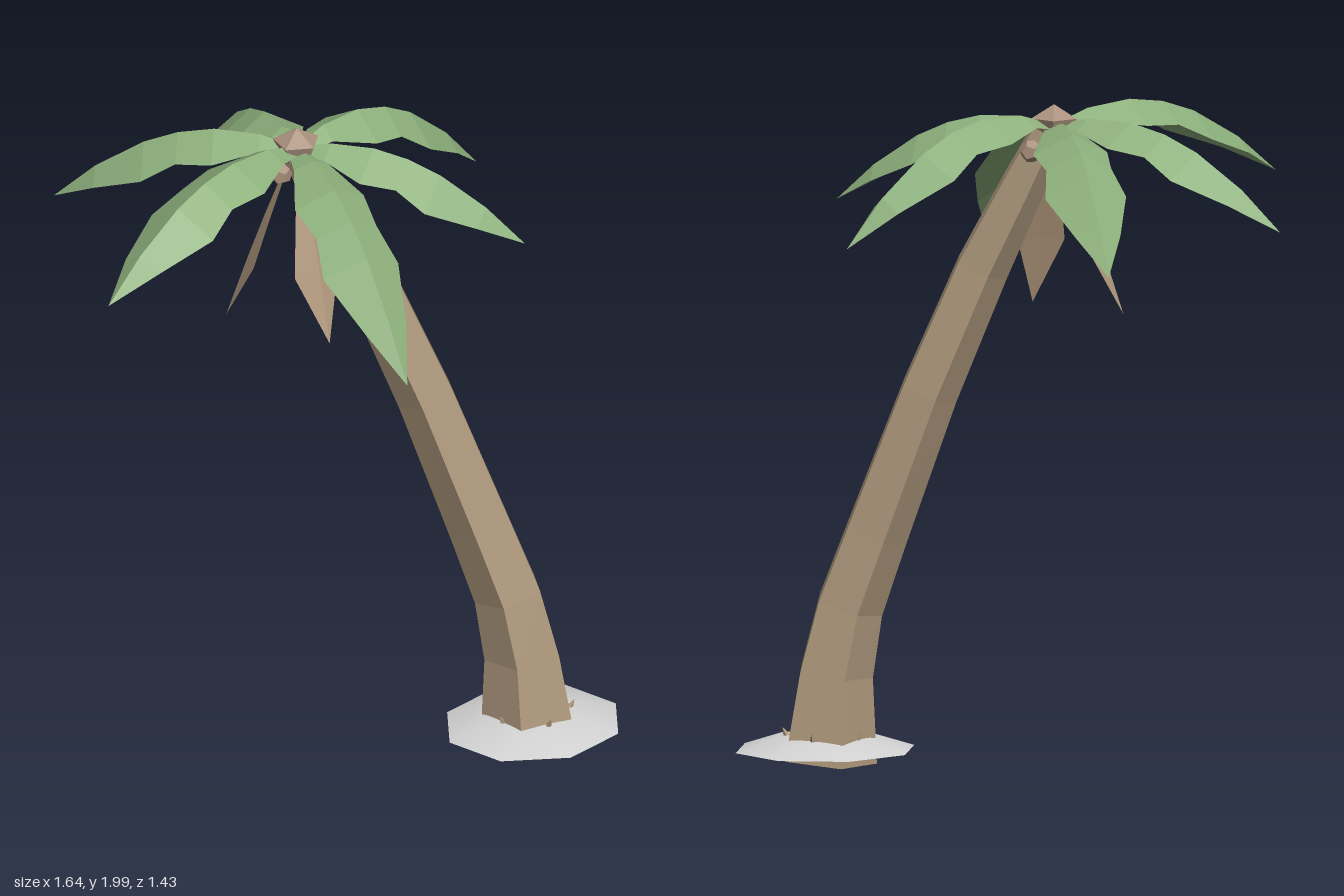
import * as THREE from 'three';

const mat = (name, color, flatShading = true) => {
  const m = new THREE.MeshStandardMaterial({ color, flatShading, side: THREE.DoubleSide });
  m.name = name;
  return m;
};

// Folded leaf: a midrib from root to tip that first rises, then droops
function leaf(root, tip, rise, profile, fold) {
  const chord = new THREE.Vector3().subVectors(tip, root);
  const side = new THREE.Vector3(chord.z, 0, -chord.x).normalize();
  const inward = new THREE.Vector3().crossVectors(side, chord).normalize();
  if (inward.y > 0) inward.negate();
  const sag = rise - chord.y;
  const geo = new THREE.PlaneGeometry(1, 1, 2, profile.length - 1);
  const p = new THREE.Vector3();
  for (let i = 0; i < geo.attributes.position.count; i++) {
    const [t, half] = profile[Math.floor(i / 3)];
    const s = (i % 3) - 1;
    p.copy(root).addScaledVector(chord, t);
    p.y = root.y + rise * t - sag * t * t;
    p.addScaledVector(side, s * half).addScaledVector(inward, Math.abs(s) * half * fold);
    geo.attributes.position.setXYZ(i, p.x, p.y, p.z);
  }
  geo.computeVertexNormals();
  return geo;
}

export function createModel() {
  const group = new THREE.Group();
  const bark = mat('bark', 0xb09a7e);
  const green = mat('leaf green', 0x8db07c);
  const dry = mat('dry leaf', 0xb0977c);
  const crownBrown = mat('crown brown', 0xab917e);
  const grey = mat('pale sand', 0xd2d2d2, false);
  const add = (name, geo, material, x = 0, y = 0, z = 0) => {
    const m = new THREE.Mesh(geo, material);
    m.name = name;
    m.position.set(x, y, z);
    group.add(m);
    return m;
  };

  // Curved, tapering five-sided trunk: x, y, z, radius from top to bottom
  const rings = [
    [-0.04, 1.92, -0.03, 0.052], [0.03, 1.75, 0.02, 0.064], [0.135, 1.5, 0.09, 0.077],
    [0.275, 1.13, 0.163, 0.085], [0.415, 0.7, 0.243, 0.094], [0.485, 0.48, 0.283, 0.102],
    [0.523, 0.28, 0.302, 0.117], [0.54, 0.02, 0.312, 0.148],
  ];
  const trunk = new THREE.CylinderGeometry(1, 1, 1, 5, rings.length - 1, true, Math.PI);
  const pos = trunk.attributes.position;
  for (let i = 0; i < pos.count; i++) {
    const r = Math.floor(i / 6);
    const [x, y, z, rad] = rings[r];
    const a = rings[Math.max(r - 1, 0)], b = rings[Math.min(r + 1, rings.length - 1)];
    const dx = pos.getX(i) * rad, dz = pos.getZ(i) * rad;
    // tilt every ring square to the trunk's bend
    const dy = -((a[0] - b[0]) * dx + (a[2] - b[2]) * dz) / (a[1] - b[1]);
    pos.setXYZ(i, x + dx, y + dy, z + dz);
  }
  trunk.computeVertexNormals();
  add('trunk', trunk, bark);

  // Low octagonal mound round the foot
  const mound = [[0.274, 0.05], [0.15, 0.09], [0, 0.105]].map(p => new THREE.Vector2(...p));
  add('sandMound', new THREE.LatheGeometry(mound, 8), grey, 0.542, 0, 0.323).scale.z = 0.9;

  // Small root spikes leaning out of the trunk foot
  for (let i = 0; i < 5; i++) {
    const a = (i / 5) * Math.PI * 2;
    const spike = add('rootSpike', new THREE.ConeGeometry(0.018, 0.05, 4), bark,
      0.54 + Math.sin(a) * 0.118, 0.095, 0.315 + Math.cos(a) * 0.118);
    spike.rotation.set(0.5, a, 0, 'YXZ');
  }

  // Crown bud and small nuts beneath it
  const bud = [[0, 1.87], [0.045, 1.9], [0.071, 1.96], [0, 2]].map(p => new THREE.Vector2(...p));
  add('crownBud', new THREE.LatheGeometry(bud, 5, Math.PI / 2), crownBrown, -0.055, 0, -0.035);
  for (const [x, z] of [[0.02, -0.05], [-0.02, 0.035], [-0.11, -0.03]]) {
    add('nut', new THREE.DodecahedronGeometry(0.034), crownBrown, x, 1.865, z);
  }

  // Six green fronds: tip x, y, z, rise
  const frondProfile = [[0, 0.025], [0.15, 0.055], [0.34, 0.112], [0.49, 0.098],
    [0.63, 0.122], [0.83, 0.068], [1, 0]];
  const fronds = [
    [-0.02, 1.59, -0.72, 0.2], [-0.6, 1.67, -0.54, 0.24], [-0.82, 1.725, 0.25, 0.33],
    [-0.07, 1.5, 0.715, 0.12], [0.49, 1.68, 0.375, 0.2], [0.64, 1.63, -0.235, 0.32],
  ];
  for (const [x, y, z, rise] of fronds) {
    add('frond', leaf(new THREE.Vector3(-0.055, 1.94, -0.035), new THREE.Vector3(x, y, z),
      rise, frondProfile, 0.6), green);
  }

  // Two withered leaves hanging beside the trunk
  const dryProfile = [[0, 0.02], [0.35, 0.05], [0.62, 0.072], [1, 0]];
  for (const [root, tip] of [
    [[-0.09, 1.88, -0.04], [-0.24, 1.38, -0.13]],
    [[-0.055, 1.88, 0.01], [-0.05, 1.38, 0.17]],
  ]) {
    add('dryLeaf', leaf(new THREE.Vector3(...root), new THREE.Vector3(...tip), -0.45,
      dryProfile, 0.3), dry);
  }
  return group;
}
